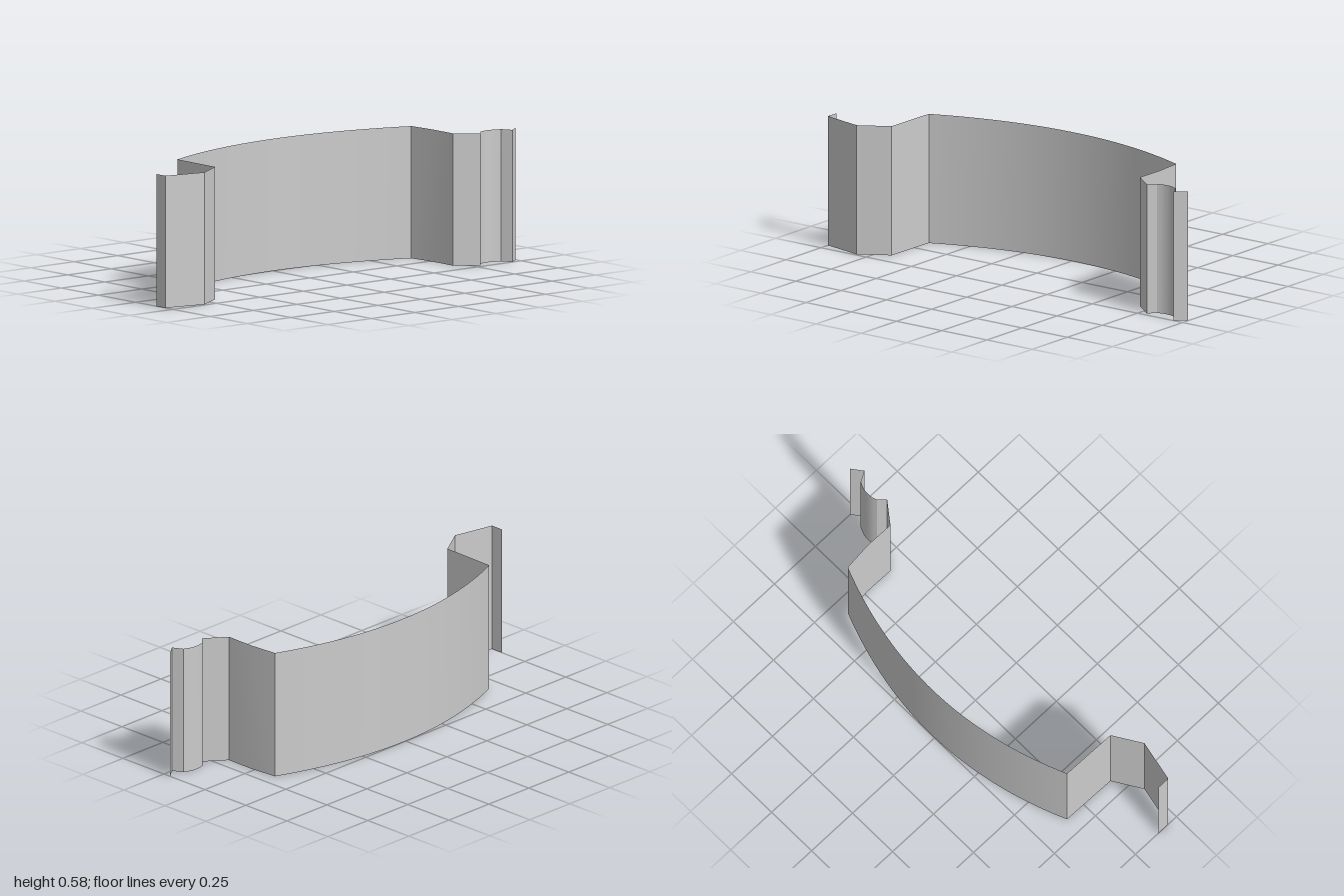
import * as THREE from 'three';

const HEIGHT = 0.585;
const material = new THREE.MeshStandardMaterial({ color: 0xcccccc, side: THREE.DoubleSide });

// Upright sheet that follows a path of [x, z] points
function sheet(name, points, smooth) {
  const n = points.length;
  let geometry = new THREE.PlaneGeometry(1, HEIGHT, n - 1, 1);
  const pos = geometry.attributes.position;
  for (let i = 0; i < pos.count; i++) {
    const [x, z] = points[i % n];
    pos.setXYZ(i, x, i < n ? HEIGHT : 0, z);
  }
  if (!smooth) geometry = geometry.toNonIndexed();
  geometry.computeVertexNormals();
  const mesh = new THREE.Mesh(geometry, material);
  mesh.name = name;
  return mesh;
}

export function createModel() {
  const group = new THREE.Group();
  group.name = 'clipBand';

  // Long bowed band, bulging to the back
  const bow = new THREE.QuadraticBezierCurve(
    new THREE.Vector2(-0.675, -0.1),
    new THREE.Vector2(0, -0.39),
    new THREE.Vector2(0.68, -0.115)
  );
  group.add(sheet('curvedBand', bow.getPoints(32).map((p) => [p.x, p.y]), true));

  // Side walls running forward from the band
  group.add(sheet('rightWall', [[-0.68, 0.16], [-0.675, -0.1]], false));
  group.add(sheet('leftWall', [[0.68, -0.115], [0.692, 0.02], [0.69, 0.155]], true));

  // Right flange: slanted shoulder, plate and bent-back lip
  group.add(sheet('rightFlange', [[-1, 0.14], [-1, 0.2], [-0.81, 0.24], [-0.68, 0.16]], false));

  // Left flange: slanted shoulder, shallow groove and outer lip
  group.add(sheet('leftShoulder', [[0.69, 0.155], [0.785, 0.228], [0.815, 0.195]], false));
  const groove = new THREE.SplineCurve(
    [[0.815, 0.195], [0.845, 0.187], [0.885, 0.188], [0.925, 0.203]].map((p) => new THREE.Vector2(...p))
  );
  group.add(sheet('leftGroove', groove.getPoints(10).map((p) => [p.x, p.y]), true));
  group.add(sheet('leftLip', [[0.925, 0.203], [0.95, 0.25], [1, 0.212]], false));

  return group;
}
